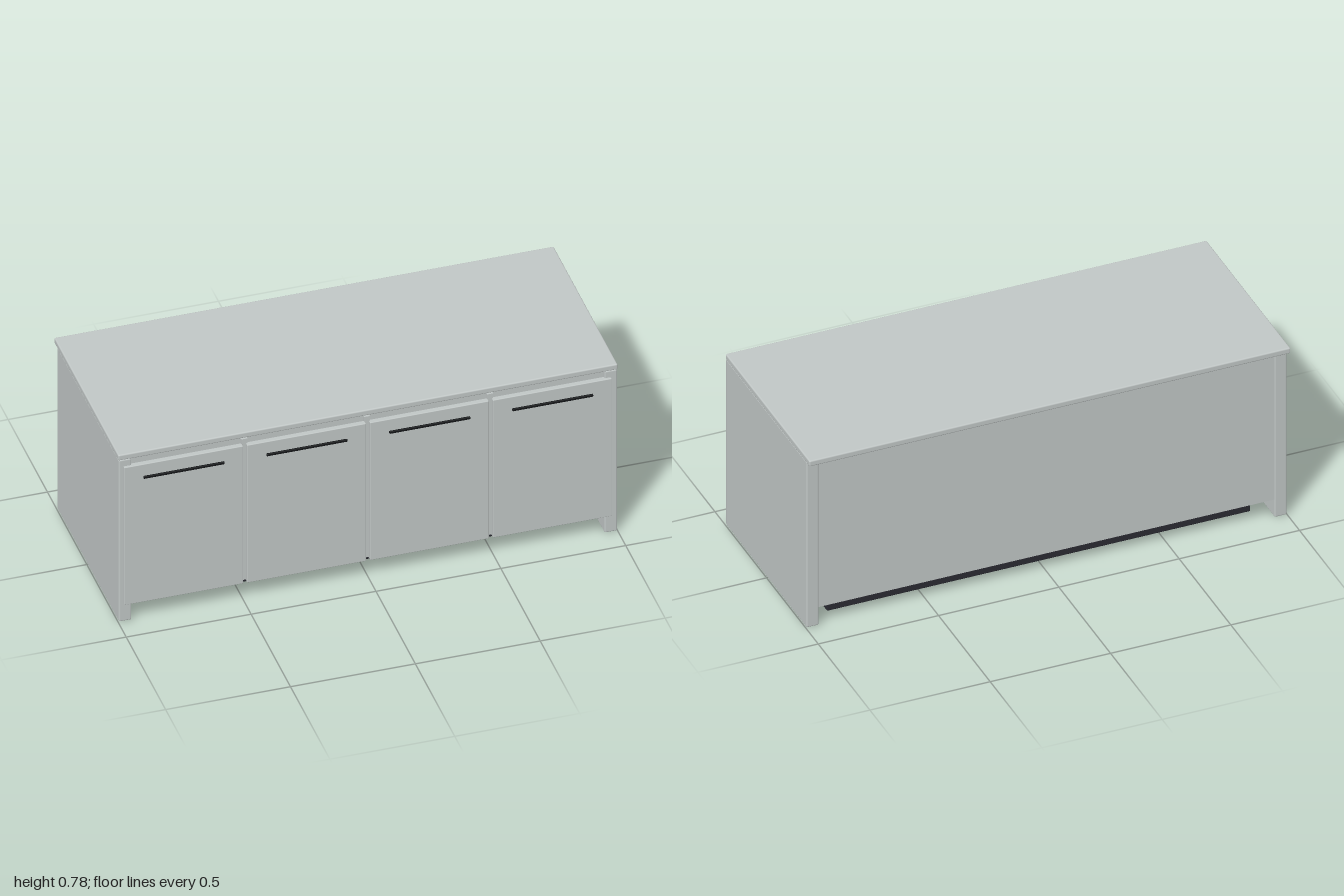
import * as THREE from 'three';
import { RoundedBoxGeometry } from 'three/addons/geometries/RoundedBoxGeometry.js';

export function createModel() {
  const model = new THREE.Group();
  model.name = 'sideboard';

  const material = (name, color) => {
    const m = new THREE.MeshStandardMaterial({ color });
    m.name = name;
    return m;
  };
  const grey = material('light grey', 0xc0c6c5);
  const plinthDark = material('plinth charcoal', 0x2a2a32);
  const black = material('handle black', 0x141618);

  // Box given by its min/max on each axis, with softly rounded edges when r > 0
  const box = (name, mat, [x0, x1], [y0, y1], [z0, z1], r = 0, parent = model) => {
    const size = [x1 - x0, y1 - y0, z1 - z0];
    const geometry = r > 0 ? new RoundedBoxGeometry(...size, 3, r) : new THREE.BoxGeometry(...size);
    const mesh = new THREE.Mesh(geometry, mat);
    mesh.name = name;
    mesh.position.set((x0 + x1) / 2, (y0 + y1) / 2, (z0 + z1) / 2);
    parent.add(mesh);
    return mesh;
  };

  // Worktop overhanging at the back
  box('worktop', grey, [-1, 1], [0.757, 0.783], [-0.415, 0.4], 0.006);

  // Side panels reaching the floor
  box('leftSidePanel', grey, [0.947, 0.998], [0.002, 0.759], [-0.383, 0.4], 0.006);
  box('rightSidePanel', grey, [-0.998, -0.947], [0.002, 0.759], [-0.383, 0.4], 0.006);

  // Cabinet body between the side panels
  box('backPanel', grey, [-0.947, 0.947], [0.083, 0.75], [-0.381, -0.365]);
  box('cabinetBody', grey, [-0.947, 0.947], [0.085, 0.75], [-0.365, 0.385]);

  // Recessed plinth
  box('plinth', plinthDark, [-0.88, 0.88], [0, 0.083], [-0.305, 0.29], 0.005);

  // Upright dividers seen in the gaps between doors
  for (const x of [-0.494, -0.003, 0.49]) {
    box('divider', grey, [x - 0.012, x + 0.012], [0.09, 0.75], [0.38, 0.396]);
  }

  // Four doors, each with a slim bar handle
  for (let i = 0; i < 4; i++) {
    const x = -0.741 + i * 0.492;
    const door = new THREE.Group();
    door.name = 'door' + (i + 1);
    box('doorFront', grey, [x - 0.238, x + 0.238], [0.083, 0.728], [0.388, 0.41], 0.003, door);
    box('handle', black, [x - 0.162, x + 0.162], [0.663, 0.674], [0.408, 0.417], 0.003, door);
    model.add(door);
  }

  return model;
}
